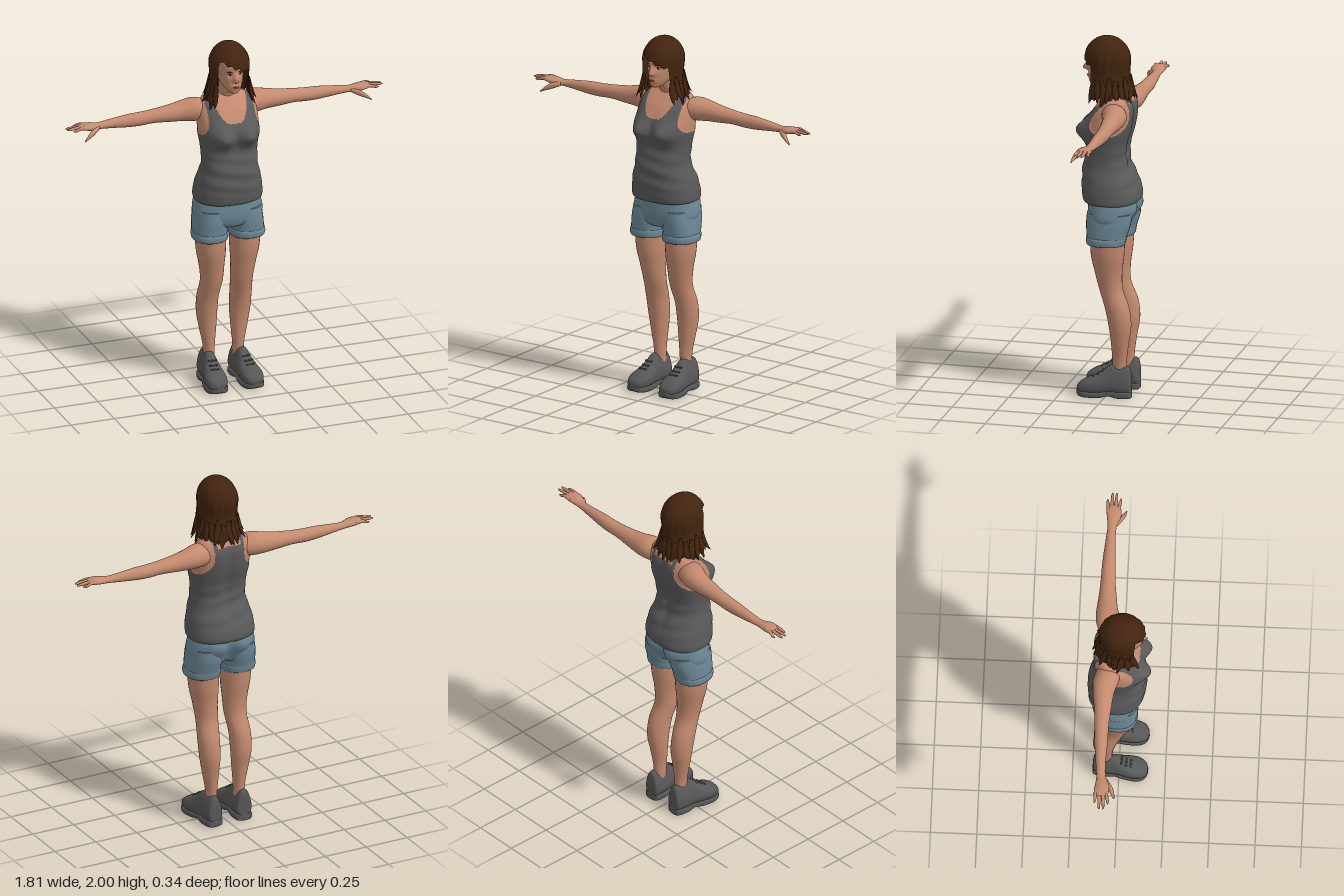
import * as THREE from 'three';
import { mergeVertices } from 'three/addons/utils/BufferGeometryUtils.js';
import { ParametricGeometry } from 'three/addons/geometries/ParametricGeometry.js';

const mat = (name, color, side = THREE.FrontSide) => {
  const m = new THREE.MeshStandardMaterial({ color, side });
  m.name = name;
  return m;
};
const smooth = THREE.MathUtils.smoothstep;
const bump = (d, w) => Math.exp(-(d * d) / (w * w));

// Smooth Catmull-Rom blend through rows of numbers
function sampleRows(rows, t) {
  const f = t * (rows.length - 1), i = Math.min(Math.floor(f), rows.length - 2), s = f - i;
  const at = k => rows[Math.max(0, Math.min(rows.length - 1, k))];
  const [a, b, c, d] = [at(i - 1), at(i), at(i + 1), at(i + 2)];
  return b.map((_, k) => 0.5 * (2 * b[k] + (c[k] - a[k]) * s
    + (2 * a[k] - 5 * b[k] + 4 * c[k] - d[k]) * s * s
    + (3 * b[k] - a[k] - 3 * c[k] + d[k]) * s * s * s));
}

// Closed skin over rows [y, centre x, half width, front z, back z], listed upwards
function loft(rows, { seg = 28, steps = 40, pow = 2, deform } = {}) {
  const pos = [], idx = [], v = new THREE.Vector3();
  const put = (x, y, z) => {
    v.set(x, y, z);
    if (deform) deform(v);
    pos.push(v.x, v.y, v.z);
  };
  const round = c => Math.sign(c) * Math.abs(c) ** (2 / pow);
  for (let i = 0; i <= steps; i++) {
    const [y, cx, hw, zf, zb] = sampleRows(rows, i / steps);
    for (let j = 0; j < seg; j++) {
      const a = (j / seg) * Math.PI * 2;
      put(cx + hw * round(Math.sin(a)), y, (zf + zb) / 2 + (zf - zb) / 2 * round(Math.cos(a)));
      if (i < steps) {
        const p = i * seg + j, q = i * seg + (j + 1) % seg;
        idx.push(p, q, p + seg, q, q + seg, p + seg);
      }
    }
  }
  for (const end of [0, 1]) {
    const [y, cx, , zf, zb] = rows[end * (rows.length - 1)], c = pos.length / 3, o = end * steps * seg;
    put(cx, y, (zf + zb) / 2);
    for (let j = 0; j < seg; j++) {
      const p = o + j, q = o + (j + 1) % seg;
      end ? idx.push(c, p, q) : idx.push(c, q, p);
    }
  }
  const g = new THREE.BufferGeometry();
  g.setAttribute('position', new THREE.Float32BufferAttribute(pos, 3));
  g.setIndex(idx);
  g.computeVertexNormals();
  return g;
}

// Loft running along +x; rows are [x, centre y, half height, front z, back z]
const loftX = (rows, opt) =>
  loft(rows.map(([x, cy, ...r]) => [x, -cy, ...r]), opt).rotateZ(-Math.PI / 2);

function mirrored(geo) {
  const g = geo.clone();
  g.scale(-1, 1, 1);
  const ix = g.index.array;
  for (let i = 0; i < ix.length; i += 3) [ix[i], ix[i + 1]] = [ix[i + 1], ix[i]];
  g.computeVertexNormals();
  return g;
}

// Where the tank top covers the torso
function isTank({ x, y, z }) {
  const ax = Math.abs(x), front = z > -0.03;
  if (front && ax < 0.1 && y > 1.555 + 0.11 * (ax / 0.098) ** 3) return false;
  if (!front && ax < 0.07 && y > 1.64) return false;
  if (y > 1.69) return false;
  if (y < 1.47) return true;
  const drop = Math.max(0, 1.6 - y) / 0.13;
  const blend = smooth(z, -0.07, 0.0);
  const edge = (0.088 + 0.045 * blend) + (0.09 - 0.045 * blend) * drop ** 2.5;
  return ax < edge + 0.08 * Math.max(0, y - 1.62);
}

export function createModel() {
  const model = new THREE.Group();
  const skin = mat('skin', 0xc48a6f), cloth = mat('grey cloth', 0x5a5a5a), denim = mat('blue denim', 0x6c8896);
  const hairMat = mat('brown hair', 0x43240f, THREE.DoubleSide), shoeMat = mat('shoe grey', 0x575757);
  const lip = mat('lips', 0xa0614f), white = mat('eye white', 0xd8d0c8), iris = mat('iris', 0x2a211c);
  const add = (name, geo, m, parent = model) => {
    const mesh = new THREE.Mesh(geo, m);
    mesh.name = name;
    parent.add(mesh);
    return mesh;
  };
  const addPair = (name, geo, m) => {
    add(name + 'Left', geo, m);
    add(name + 'Right', mirrored(geo), m);
  };

  // Torso, split into tank top and bare shoulders
  const torso = loft([
    [1.11, 0, 0.15, 0.10, -0.13], [1.09, 0, 0.178, 0.128, -0.158], [1.12, 0, 0.184, 0.14, -0.168],
    [1.2, 0, 0.174, 0.143, -0.147], [1.3, 0, 0.15, 0.136, -0.106], [1.4, 0, 0.154, 0.115, -0.105],
    [1.48, 0, 0.165, 0.12, -0.125], [1.55, 0, 0.168, 0.105, -0.138], [1.61, 0, 0.162, 0.075, -0.14],
    [1.655, 0, 0.142, 0.035, -0.125], [1.68, 0, 0.11, 0.01, -0.108], [1.7, 0, 0.05, -0.01, -0.08],
  ], {
    seg: 150, steps: 130, pow: 2.35, deform: p => {
      const ax = Math.abs(p.x);
      if (p.z > 0) p.z += 0.056 * bump(ax - 0.075, 0.06) * bump(p.y - 1.485, 0.06) * smooth(p.z, 0, 0.06);
      if (p.z < -0.05) p.z += 0.012 * bump(ax, 0.03) * smooth(p.y, 1.15, 1.3);
      p.z += 0.003 * Math.sin(p.y * 75 + p.x * 14) * smooth(p.y, 1.13, 1.2) * (1 - smooth(p.y, 1.33, 1.42));
      if (isTank(p)) { p.x *= 1.02; p.z *= 1.025; }
    },
  });
  const parts = [[], []], tp = torso.attributes.position, ti = torso.index.array, c = new THREE.Vector3();
  for (let i = 0; i < ti.length; i += 3) {
    c.set(0, 0, 0);
    for (let k = 0; k < 3; k++) c.add(new THREE.Vector3().fromBufferAttribute(tp, ti[i + k]));
    parts[isTank(c.divideScalar(3)) ? 0 : 1].push(ti[i], ti[i + 1], ti[i + 2]);
  }
  torso.setIndex(parts.flat());
  torso.addGroup(0, parts[0].length, 0);
  torso.addGroup(parts[0].length, parts[1].length, 1);
  add('tankTopAndShoulders', torso, [cloth, skin]);

  // Shorts: hips, legs and rolled cuffs
  add('shortsHips', loft([
    [0.93, 0, 0.05, 0.05, -0.07], [0.95, 0, 0.15, 0.09, -0.11], [1.0, 0, 0.192, 0.108, -0.135],
    [1.06, 0, 0.188, 0.11, -0.155], [1.12, 0, 0.172, 0.105, -0.15], [1.15, 0, 0.16, 0.1, -0.13],
  ], { seg: 64, pow: 2.3, deform: p => {
    if (p.z < -0.03) p.z += 0.03 * bump(p.x, 0.025) - 0.018 * bump(Math.abs(p.x) - 0.085, 0.06) * bump(p.y - 1.05, 0.06);
  } }), denim);
  addPair('shortsLeg', loft([
    [0.885, 0.106, 0.085, 0.085, -0.1], [0.875, 0.106, 0.092, 0.095, -0.108], [0.92, 0.104, 0.093, 0.1, -0.122],
    [0.98, 0.1, 0.092, 0.104, -0.14], [1.04, 0.095, 0.088, 0.1, -0.145],
  ], { pow: 2.3 }), denim);
  addPair('shortsCuff', loft([
    [0.88, 0.106, 0.085, 0.085, -0.095], [0.865, 0.106, 0.094, 0.098, -0.108], [0.885, 0.106, 0.098, 0.103, -0.114],
    [0.905, 0.105, 0.095, 0.1, -0.116], [0.91, 0.104, 0.085, 0.09, -0.105],
  ], { pow: 2.3, steps: 20 }), denim);

  // Bare legs
  addPair('leg', loft([
    [0.08, 0.085, 0.03, -0.045, -0.11], [0.2, 0.085, 0.032, -0.036, -0.114], [0.3, 0.09, 0.046, -0.03, -0.126],
    [0.4, 0.095, 0.057, -0.018, -0.141], [0.5, 0.095, 0.059, 0.003, -0.13], [0.6, 0.087, 0.061, 0.035, -0.093],
    [0.7, 0.091, 0.069, 0.06, -0.09], [0.8, 0.097, 0.081, 0.08, -0.102], [0.95, 0.1, 0.085, 0.085, -0.11],
  ]), skin);

  // Arms with palms
  addPair('arm', loftX([
    [0.07, 1.595, 0.04, -0.01, -0.1], [0.13, 1.597, 0.06, 0.01, -0.125], [0.18, 1.6, 0.064, 0.0, -0.137],
    [0.24, 1.596, 0.056, -0.02, -0.135], [0.31, 1.591, 0.047, -0.03, -0.127], [0.4, 1.588, 0.038, -0.04, -0.12],
    [0.48, 1.583, 0.037, -0.043, -0.117], [0.55, 1.583, 0.035, -0.045, -0.112], [0.65, 1.583, 0.025, -0.05, -0.102],
    [0.72, 1.583, 0.018, -0.046, -0.096], [0.77, 1.588, 0.02, -0.026, -0.102], [0.81, 1.592, 0.016, -0.026, -0.106],
    [0.835, 1.592, 0.009, -0.034, -0.1],
  ], { steps: 50 }), skin);

  // Fingers: root z, tip z, tip x, tip y
  [[-0.097, -0.1, 0.872, 1.585], [-0.077, -0.076, 0.907, 1.59], [-0.057, -0.053, 0.907, 1.592], [-0.037, -0.03, 0.878, 1.588]]
    .forEach(([z0, z1, x, y], i) => addPair('finger' + (i + 1), loftX([
      [0.79, 1.593, 0.008, z0 + 0.009, z0 - 0.009], [0.83, 1.595, 0.009, z0 + 0.0095, z0 - 0.0095],
      [x - 0.015, y, 0.007, z1 + 0.007, z1 - 0.007], [x, y - 0.001, 0.002, z1 + 0.002, z1 - 0.002],
    ], { seg: 10, steps: 12 }), skin));
  addPair('thumb', loftX([
    [0.725, 1.58, 0.012, -0.04, -0.065], [0.765, 1.568, 0.017, -0.01, -0.045],
    [0.8, 1.55, 0.011, 0.003, -0.018], [0.825, 1.532, 0.003, 0.006, -0.002],
  ], { seg: 12, steps: 14 }), skin);

  // Shoes: rows along z give [z, centre x, half width, -bottom, -top]
  const place = g => g.rotateY(0.07).translate(0.097, 0, 0);
  addPair('shoe', place(loft([
    [-0.14, 0, 0.025, -0.03, -0.12], [-0.13, 0, 0.045, -0.015, -0.17], [-0.08, 0, 0.052, -0.015, -0.172],
    [-0.03, 0, 0.052, -0.015, -0.178], [0.01, 0, 0.055, -0.015, -0.15], [0.05, 0, 0.06, -0.015, -0.122],
    [0.1, 0, 0.06, -0.015, -0.1], [0.14, 0, 0.043, -0.018, -0.075], [0.155, 0, 0.015, -0.03, -0.055],
  ], { pow: 2.6 }).rotateX(Math.PI / 2)), shoeMat);
  const shoeTaper = model.children.slice(-2);
  shoeTaper.forEach((mesh, i) => {
    const p = mesh.geometry.attributes.position, cx = i ? -0.094 : 0.094;
    for (let k = 0; k < p.count; k++) {
      p.setX(k, cx + (p.getX(k) - cx) * (1 - 0.35 * smooth(p.getY(k), 0.06, 0.17)));
    }
    mesh.geometry.computeVertexNormals();
  });
  addPair('shoeSole', place(loft([
    [-0.142, 0, 0.02, 0, -0.03], [-0.13, 0, 0.046, 0, -0.038], [-0.07, 0, 0.053, 0, -0.038], [-0.02, 0, 0.05, -0.01, -0.038],
    [0.03, 0, 0.058, 0, -0.034], [0.1, 0, 0.063, 0, -0.034], [0.14, 0, 0.046, -0.004, -0.036], [0.157, 0, 0.015, -0.015, -0.04],
  ], { pow: 5 }).rotateX(Math.PI / 2)), shoeMat);
  [[0.065, 0.115], [0.04, 0.129], [0.015, 0.147]].forEach(([z, y], i) =>
    addPair('shoeLace' + (i + 1), place(mergeVertices(
      new THREE.CapsuleGeometry(0.005, 0.04, 3, 8).rotateZ(Math.PI / 2).translate(0, y, z))), shoeMat));

  // Neck and head
  add('neck', loft([
    [1.62, 0, 0.06, 0.01, -0.11], [1.68, 0, 0.052, 0.01, -0.09], [1.72, 0, 0.046, 0.025, -0.07], [1.78, 0, 0.046, 0.035, -0.065],
  ]), skin);
  const head = add('head', loft([
    [1.73, 0, 0.012, 0.1, 0.06], [1.738, 0, 0.03, 0.112, 0.03], [1.765, 0, 0.05, 0.117, -0.02], [1.8, 0, 0.063, 0.118, -0.07],
    [1.85, 0, 0.071, 0.119, -0.085], [1.9, 0, 0.075, 0.12, -0.09], [1.95, 0, 0.063, 0.095, -0.07], [1.975, 0, 0.03, 0.05, -0.03],
  ], { seg: 72, steps: 70, pow: 2.2, deform: p => {
    if (p.z < 0.05) return;
    const ax = Math.abs(p.x);
    const ridge = smooth(p.y, 1.795, 1.812) * (1 - smooth(p.y, 1.812, 1.865));
    p.z += 0.034 * ridge * bump(ax, 0.012) + 0.006 * bump(ax, 0.022) * bump(p.y - 1.774, 0.012);
    p.z -= 0.009 * bump(ax - 0.03, 0.016) * bump(p.y - 1.843, 0.014);
  } }), skin);

  // Facial features laid on the head surface
  const ray = new THREE.Raycaster();
  const onFace = (name, x, y, w, h, m, lift, tilt = 0) => {
    ray.set(new THREE.Vector3(x, y, 1), new THREE.Vector3(0, 0, -1));
    const hit = ray.intersectObject(head)[0];
    const mesh = add(name, new THREE.SphereGeometry(1, 16, 8).scale(w, h, 0.003), m);
    mesh.position.set(x, y, (hit ? hit.point.z : 0.115) + lift);
    mesh.rotation.set(0, x * 12, tilt);
  };
  for (const s of [1, -1]) {
    const side = s > 0 ? 'Left' : 'Right';
    onFace('eye' + side, s * 0.03, 1.843, 0.012, 0.005, white, 0);
    onFace('iris' + side, s * 0.029, 1.843, 0.0048, 0.0048, iris, 0.0016);
    onFace('eyelid' + side, s * 0.03, 1.849, 0.014, 0.0018, iris, 0.001);
    onFace('eyebrow' + side, s * 0.032, 1.863, 0.017, 0.003, hairMat, 0, s * 0.12);
  }
  onFace('upperLip', 0, 1.777, 0.019, 0.0035, lip, 0);
  onFace('lowerLip', 0, 1.77, 0.015, 0.004, lip, 0);

  // Hair: one shell with swept fringe and ragged ends
  const hairShell = new ParametricGeometry((u, v, out) => {
    const a = Math.PI - 2 * Math.PI * u, aa = Math.abs(a);
    const fringe = 1.885 - 0.045 * a + 0.006 * Math.sin(a * 16);
    const ends = 1.675 + 0.014 * Math.sin(a * 9 + 1) + 0.01 * Math.sin(a * 23);
    const low = THREE.MathUtils.lerp(fringe, ends, smooth(aa, 0.92, 1.1));
    const d = (2 - low) * v ** 1.7, k = Math.min(1, d / 0.13);
    let r = Math.sqrt(1 - (1 - k) ** 2);
    r *= 1 + k * (0.014 * Math.sin(a * 18 + d * 14) + 0.01 * Math.sin(a * 7 - d * 20));
    r *= 1 + 0.16 * smooth(d, 0.2, 0.33) - 0.05 * bump(d - 0.2, 0.05);
    out.set(0.109 * r * Math.sin(a), 2 - d, 0.014 + 0.127 * r * Math.cos(a));
  }, 144, 44);
  hairShell.deleteAttribute('uv');
  hairShell.deleteAttribute('normal');
  const hair = mergeVertices(hairShell, 1e-5);
  hair.computeVertexNormals();
  add('hair', hair, hairMat);

  // Loose locks flicking out around the ends
  for (let i = 0; i < 17; i++) {
    const a = 1.02 + (i / 16) * (2 * Math.PI - 2.04), w = 0.5 + 0.5 * Math.sin(i * 2.4);
    const flick = 0.012 + 0.02 * w, low = 1.635 + 0.03 * w, lean = 0.02 * Math.sin(i * 1.7);
    const lock = loft([
      [low, lean, 0.002, flick + 0.002, flick], [low + 0.025, lean * 0.6, 0.012, flick * 0.5 + 0.006, flick * 0.5 - 0.006],
      [low + 0.07, 0, 0.018, 0.008, -0.01], [low + 0.13, 0, 0.008, -0.006, -0.016],
    ], { seg: 10, steps: 12 }).rotateY(a);
    add('hairLock' + (i + 1), lock.translate(0.12 * Math.sin(a), 0, 0.008 + 0.13 * Math.cos(a)), hairMat);
  }
  return model;
}
